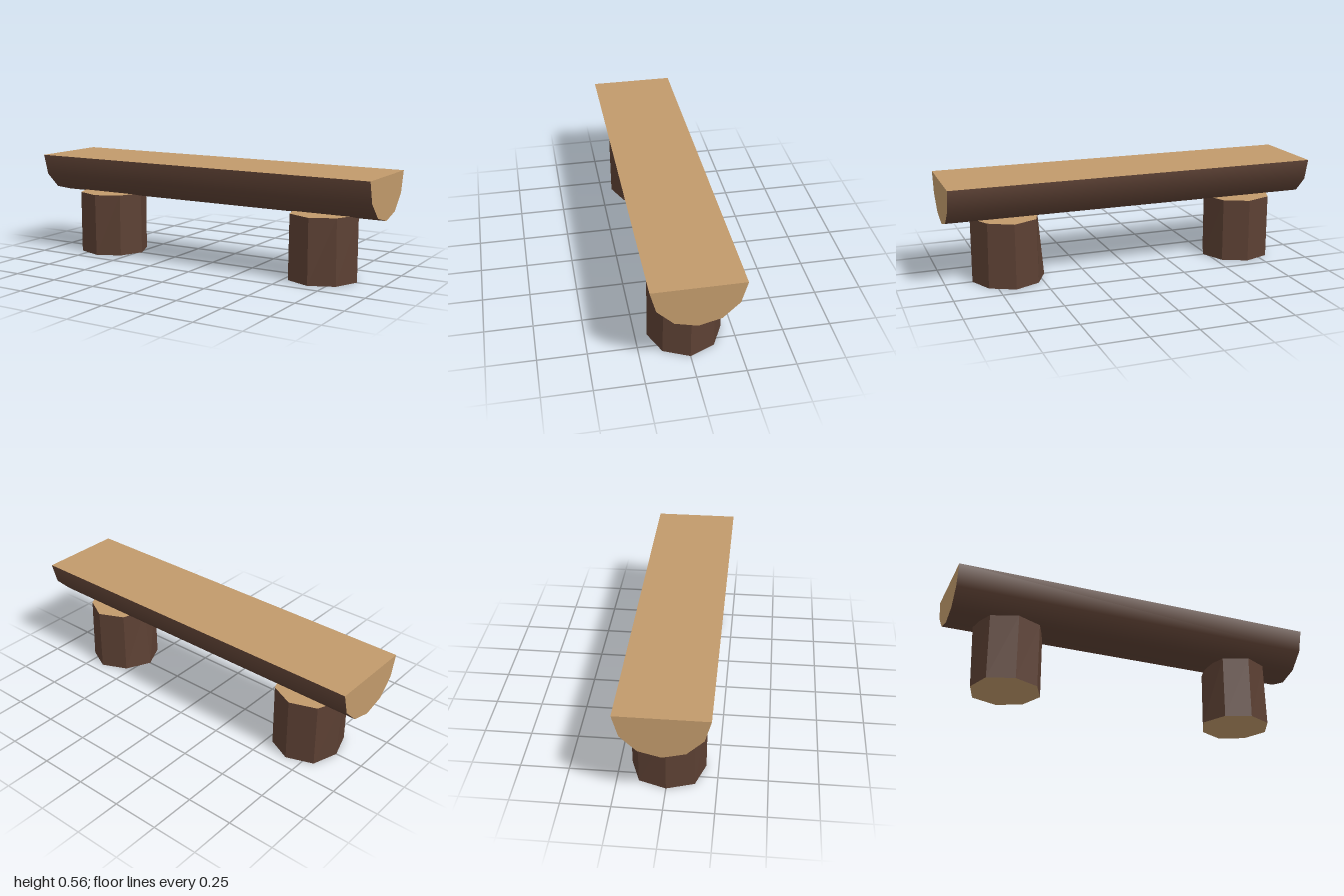
import * as THREE from 'three';

const RADIUS = 0.227, SEAT_Y = 0.56, LEG_H = 0.347;

// Rough octagonal stump; radii are listed from +z round through +x
function makeStump(name, x, topRadii, bottomRadii, materials) {
  let geo = new THREE.CylinderGeometry(1, 1, LEG_H, 8);
  const pos = geo.attributes.position;
  for (let i = 0; i < pos.count; i++) {
    const px = pos.getX(i), pz = pos.getZ(i);
    if (Math.hypot(px, pz) < 0.5) continue; // cap centre
    const k = (Math.round(Math.atan2(px, pz) / (Math.PI / 4)) + 8) % 8;
    const r = (pos.getY(i) > 0 ? topRadii : bottomRadii)[k];
    pos.setX(i, px * r);
    pos.setZ(i, pz * r);
  }
  geo = geo.toNonIndexed();
  geo.computeVertexNormals(); // faceted sides
  const mesh = new THREE.Mesh(geo, materials);
  mesh.name = name;
  mesh.position.set(x, LEG_H / 2, 0);
  return mesh;
}

export function createModel() {
  const bark = new THREE.MeshStandardMaterial({ color: 0x5c4033 });
  bark.name = 'bark';
  const wood = new THREE.MeshStandardMaterial({ color: 0xc19a6b });
  wood.name = 'cutWood';
  const materials = [bark, wood, wood]; // side, top cap, bottom cap

  const bench = new THREE.Group();
  bench.name = 'logBench';

  // Half log with smooth bark and cut ends
  const logGeo = new THREE.CylinderGeometry(RADIUS, RADIUS, 2, 6, 1, false, Math.PI, Math.PI);
  logGeo.rotateZ(Math.PI / 2);
  const log = new THREE.Mesh(logGeo, materials);
  log.name = 'halfLog';
  log.position.y = SEAT_Y;
  bench.add(log);

  // Flat sawn seat
  const seatGeo = new THREE.PlaneGeometry(2, RADIUS * 2);
  seatGeo.rotateX(-Math.PI / 2);
  const seat = new THREE.Mesh(seatGeo, wood);
  seat.name = 'seat';
  seat.position.y = SEAT_Y;
  bench.add(seat);

  // Stump legs
  bench.add(makeStump('leftLeg', 0.665,
    [0.188, 0.178, 0.19, 0.178, 0.193, 0.186, 0.17, 0.186],
    [0.188, 0.185, 0.19, 0.185, 0.195, 0.19, 0.2, 0.19], materials));
  bench.add(makeStump('rightLeg', -0.665,
    [0.19, 0.183, 0.183, 0.183, 0.19, 0.197, 0.195, 0.197],
    [0.187, 0.183, 0.185, 0.183, 0.19, 0.197, 0.185, 0.197], materials));

  return bench;
}
